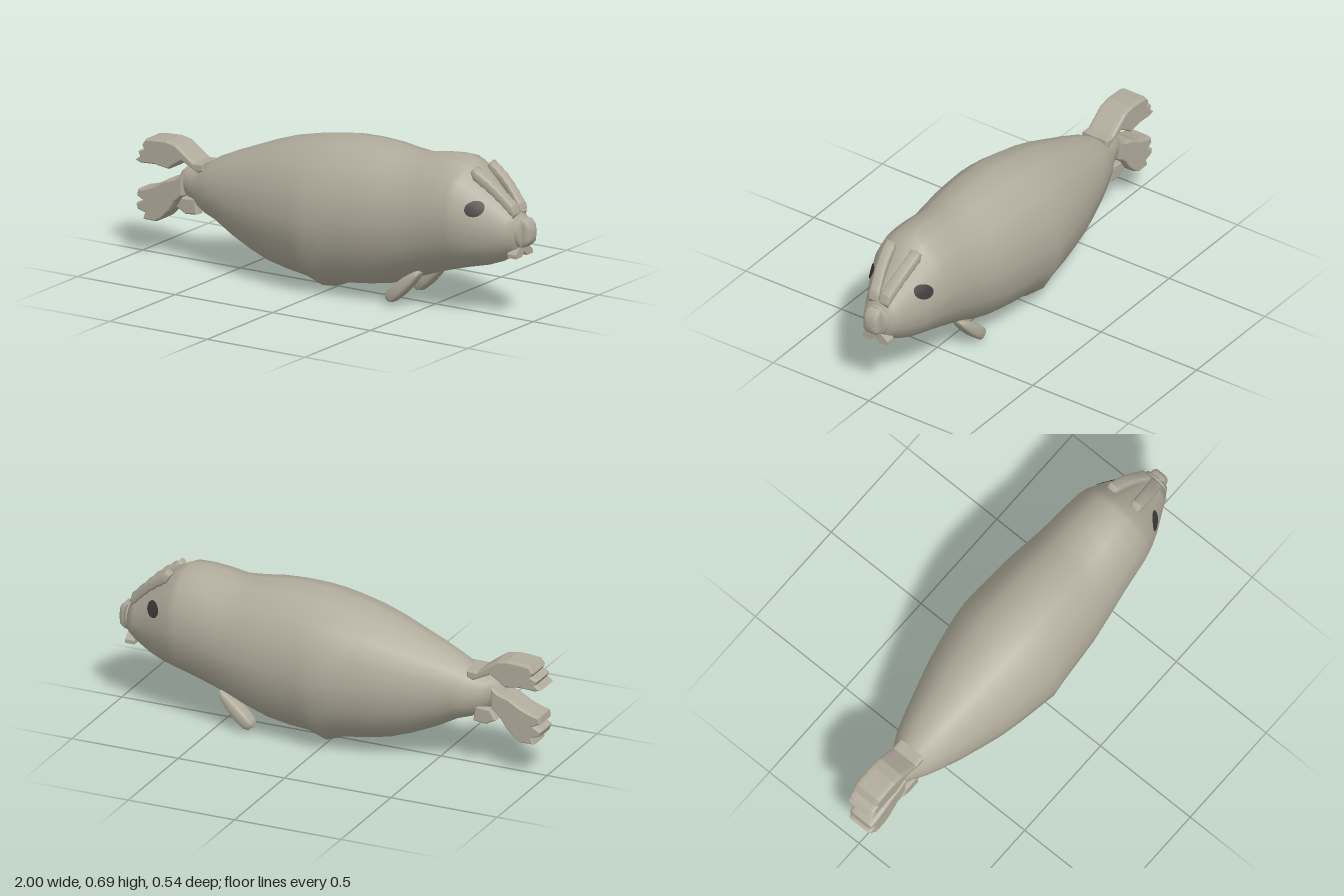
import * as THREE from 'three';

// Body stations along its length: x, bottom y, top y, half width
const BODY = [
  [-0.83, 0.27, 0.31, 0.02], [-0.79, 0.28, 0.39, 0.04], [-0.76, 0.28, 0.42, 0.05], [-0.72, 0.25, 0.41, 0.06],
  [-0.66, 0.22, 0.44, 0.095], [-0.6, 0.2, 0.48, 0.125], [-0.5, 0.145, 0.525, 0.16],
  [-0.4, 0.1, 0.565, 0.19], [-0.3, 0.065, 0.605, 0.22], [-0.2, 0.045, 0.638, 0.242],
  [-0.09, 0.03, 0.663, 0.262], [-0.01, 0, 0.678, 0.271], [0.07, 0.03, 0.687, 0.265],
  [0.17, 0.038, 0.69, 0.257], [0.27, 0.055, 0.685, 0.25], [0.36, 0.085, 0.672, 0.238],
  [0.44, 0.115, 0.665, 0.226], [0.52, 0.145, 0.68, 0.215], [0.6, 0.17, 0.688, 0.206],
  [0.67, 0.19, 0.687, 0.197], [0.71, 0.2, 0.67, 0.187], [0.78, 0.218, 0.61, 0.157],
  [0.85, 0.245, 0.548, 0.12], [0.91, 0.28, 0.49, 0.088], [0.945, 0.31, 0.465, 0.068], [0.947, 0.387, 0.389, 0.001],
];

// Smooth skin over rings [x, centre y, centre z, half height, half width]
function loft(rings, sides = 16, power = 1) {
  const pos = [], idx = [];
  const bend = (v) => Math.sign(v) * Math.abs(v) ** power;
  rings.forEach(([x, cy, cz, ry, rz], i) => {
    for (let j = 0; j < sides; j++) {
      const a = (j / sides) * Math.PI * 2;
      pos.push(x, cy + ry * bend(Math.cos(a)), cz + rz * bend(Math.sin(a)));
      if (i === rings.length - 1) continue;
      const p = i * sides + j, q = i * sides + ((j + 1) % sides);
      idx.push(p, q, p + sides, q, q + sides, p + sides);
    }
  });
  const g = new THREE.BufferGeometry();
  g.setAttribute('position', new THREE.Float32BufferAttribute(pos, 3));
  g.setIndex(idx);
  g.computeVertexNormals();
  return g;
}

// Side outline in x and y, thickened across z with rounded rims
function slab(points, halfWidth, bevel = 0.015) {
  const shape = new THREE.Shape(points.map(([x, y]) => new THREE.Vector2(x, y)));
  const depth = 2 * (halfWidth - bevel);
  const g = new THREE.ExtrudeGeometry(shape, {
    depth, bevelThickness: bevel, bevelSize: 0.008, bevelOffset: -0.008, bevelSegments: 3,
  });
  return g.translate(0, 0, -depth / 2);
}

// Half width of the body at a given x and y
function bodyZ(x, y) {
  const i = Math.max(1, BODY.findIndex((s) => s[0] >= x));
  const a = BODY[i - 1], b = BODY[i], t = (x - a[0]) / (b[0] - a[0]);
  const [lo, hi, w] = [1, 2, 3].map((k) => a[k] + (b[k] - a[k]) * t);
  const v = (y - (lo + hi) / 2) / ((hi - lo) / 2);
  return w * Math.sqrt(Math.max(0, 1 - v * v));
}

export function createModel() {
  const model = new THREE.Group();
  const hide = new THREE.MeshStandardMaterial({ color: 0xb0ab9b });
  hide.name = 'hide';
  const dark = new THREE.MeshStandardMaterial({ color: 0x403a3a, side: THREE.DoubleSide });
  dark.name = 'eyeDark';
  const add = (name, geometry, material = hide) => {
    const mesh = new THREE.Mesh(geometry, material);
    mesh.name = name;
    model.add(mesh);
    return mesh;
  };

  add('body', loft(BODY.map(([x, lo, hi, w]) => [x, (lo + hi) / 2, 0, (hi - lo) / 2, w])));

  // Muzzle disc and squared nose
  add('muzzle', loft([
    [0.93, 0.39, 0, 0.07, 0.064], [0.95, 0.39, 0, 0.072, 0.065],
    [0.964, 0.39, 0, 0.064, 0.057], [0.966, 0.39, 0, 0.001, 0.001],
  ], 24));
  add('nose', loft([
    [0.95, 0.39, 0, 0.066, 0.036], [0.975, 0.392, 0, 0.062, 0.038],
    [0.993, 0.39, 0, 0.045, 0.034], [1, 0.385, 0, 0.022, 0.022], [1, 0.385, 0, 0.001, 0.001],
  ], 20, 0.5));

  for (const s of [1, -1]) {
    const side = s > 0 ? 'left' : 'right';

    // Chin fold spreading below the muzzle
    const fold = new THREE.Shape([[0, 0.335], [0, 0.305], [0.02, 0.283], [0.064, 0.283], [0.064, 0.3], [0.035, 0.325]]
      .map(([z, y]) => new THREE.Vector2(z * s, y)));
    const foldGeo = new THREE.ExtrudeGeometry(fold, { depth: 0.045, bevelEnabled: false });
    add(side + 'ChinFold', foldGeo.rotateY(Math.PI / 2).scale(1, 1, -1).scale(1, 1, -1).translate(0.91, 0, 0));

    // Ribbed brow running up the forehead
    const path = [[0.735, 0.64, 0.066], [0.78, 0.612, 0.061], [0.83, 0.577, 0.052], [0.88, 0.532, 0.04], [0.915, 0.495, 0.03], [0.937, 0.475, 0.027]];
    const curve = new THREE.CatmullRomCurve3(path.map((p) => new THREE.Vector3(...p)));
    const ribs = [];
    for (let i = 0; i <= 14; i++) {
      const p = curve.getPoint(i / 14), end = i === 0 || i === 14;
      const ry = end ? 0.001 : 0.026 + (i % 2) * 0.005;
      ribs.push([p.x, p.y, p.z * s, ry, end ? 0.02 : 0.027]);
    }
    add(side + 'Brow', loft(ribs, 16, 0.6));

    // Oval eye laid on the cheek
    const eye = new THREE.RingGeometry(0.001, 1, 28, 4);
    const p = eye.attributes.position;
    for (let i = 0; i < p.count; i++) {
      const x = 0.79 + p.getX(i) * 0.036, y = 0.497 + p.getY(i) * 0.033;
      p.setXYZ(i, x, y, s * (bodyZ(x, y) + 0.004));
    }
    eye.computeVertexNormals();
    add(side + 'Eye', eye, dark);

    // Front flipper sloping down and back
    const flipper = add(side + 'FrontFlipper', loft([
      [-0.102, 0, s * 0.108, 0.001, 0.001], [-0.1, 0, s * 0.108, 0.016, 0.025], [-0.08, 0, s * 0.108, 0.028, 0.036],
      [-0.03, 0, s * 0.106, 0.031, 0.04], [0.03, 0, s * 0.102, 0.027, 0.039],
      [0.08, 0, s * 0.1, 0.018, 0.032], [0.105, 0, s * 0.1, 0.008, 0.02], [0.106, 0, s * 0.1, 0.001, 0.001],
    ], 16, 0.6));
    flipper.position.set(0.41, 0.092, 0);
    flipper.rotation.z = 0.74;

    // Small lobe under the tail root
    const lobe = add(side + 'TailLobe', slab([
      [-0.79, 0.24], [-0.76, 0.285], [-0.69, 0.29], [-0.68, 0.22], [-0.74, 0.213],
    ], 0.025, 0.012));
    lobe.position.z = s * 0.04;
  }

  // Hind flippers with notched toes
  add('upperHindFlipper', slab([
    [-0.65, 0.45], [-0.7, 0.448], [-0.75, 0.485], [-0.79, 0.513], [-0.84, 0.523], [-0.9, 0.52], [-0.945, 0.515],
    [-0.965, 0.487], [-0.955, 0.47], [-0.985, 0.455], [-0.975, 0.435], [-1, 0.415], [-0.97, 0.404], [-0.9, 0.408],
    [-0.83, 0.398], [-0.8, 0.42], [-0.76, 0.445], [-0.72, 0.425], [-0.68, 0.405], [-0.65, 0.415],
  ], 0.066, 0.02));
  add('lowerHindFlipper', slab([
    [-0.76, 0.385], [-0.8, 0.36], [-0.85, 0.345], [-0.9, 0.315], [-0.95, 0.295], [-0.99, 0.285], [-0.995, 0.255],
    [-0.965, 0.24], [-1, 0.222], [-0.99, 0.195], [-0.955, 0.185], [-0.965, 0.155], [-0.9, 0.153], [-0.87, 0.17],
    [-0.83, 0.21], [-0.8, 0.255], [-0.76, 0.29],
  ], 0.06, 0.025));
  return model;
}
